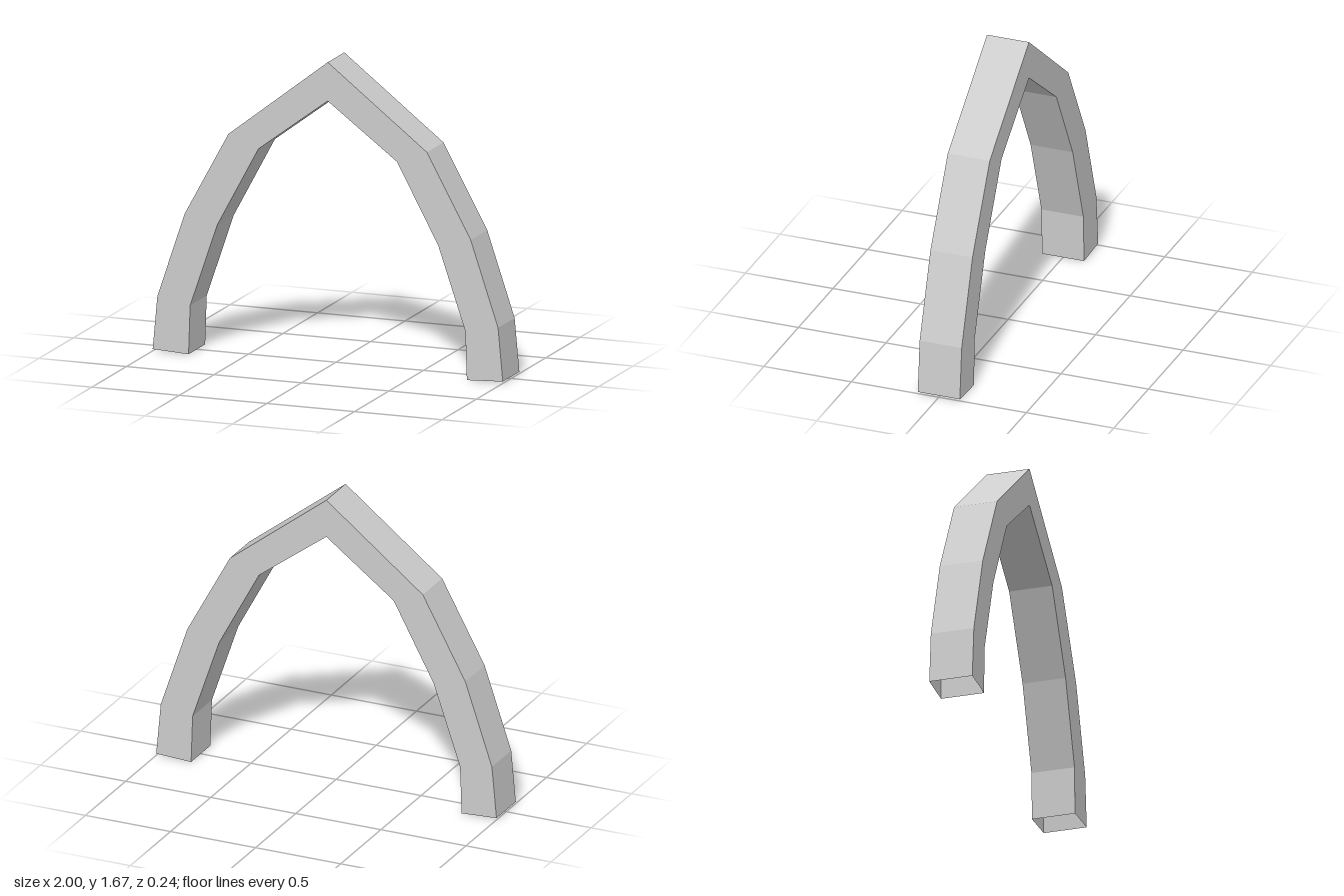
import * as THREE from 'three';

const HALF_DEPTH = 0.12;

// Half of the arch from foot to apex: [outer x, outer y, inner x, inner y]
const HALF = [
  [1.0, 0.01, 0.795, 0],
  [0.973, 0.302, 0.786, 0.267],
  [0.817, 0.767, 0.631, 0.722],
  [0.567, 1.225, 0.396, 1.158],
  [0, 1.667, 0, 1.455],
];

// Four-cornered cross-section of the beam at one joint
function section([ox, oy, ix, iy]) {
  return [
    [ox, oy, HALF_DEPTH],
    [ox, oy, -HALF_DEPTH],
    [ix, iy, -HALF_DEPTH],
    [ix, iy, HALF_DEPTH],
  ];
}

// Joins successive cross-sections into a hollow beam with open ends
function beamGeometry(sections) {
  const positions = [];
  for (let i = 0; i < sections.length - 1; i++) {
    const a = sections[i];
    const b = sections[i + 1];
    for (let k = 0; k < 4; k++) {
      const n = (k + 1) % 4;
      positions.push(...a[k], ...b[k], ...a[n], ...b[k], ...b[n], ...a[n]);
    }
  }
  const geometry = new THREE.BufferGeometry();
  geometry.setAttribute('position', new THREE.Float32BufferAttribute(positions, 3));
  geometry.computeVertexNormals();
  return geometry;
}

export function createModel() {
  const group = new THREE.Group();
  group.name = 'pointedArch';

  // Mirror the half profile to run from the right foot over the apex to the left foot
  const mirrored = HALF.map(([ox, oy, ix, iy]) => [-ox, oy, -ix, iy]);
  const profile = [...mirrored, ...HALF.slice(0, -1).reverse()];

  // Faceted beam, open at both feet
  const material = new THREE.MeshStandardMaterial({
    color: 0xcccccc,
    flatShading: true,
    side: THREE.DoubleSide,
  });
  const arch = new THREE.Mesh(beamGeometry(profile.map(section)), material);
  arch.name = 'archBeam';
  group.add(arch);
  return group;
}
